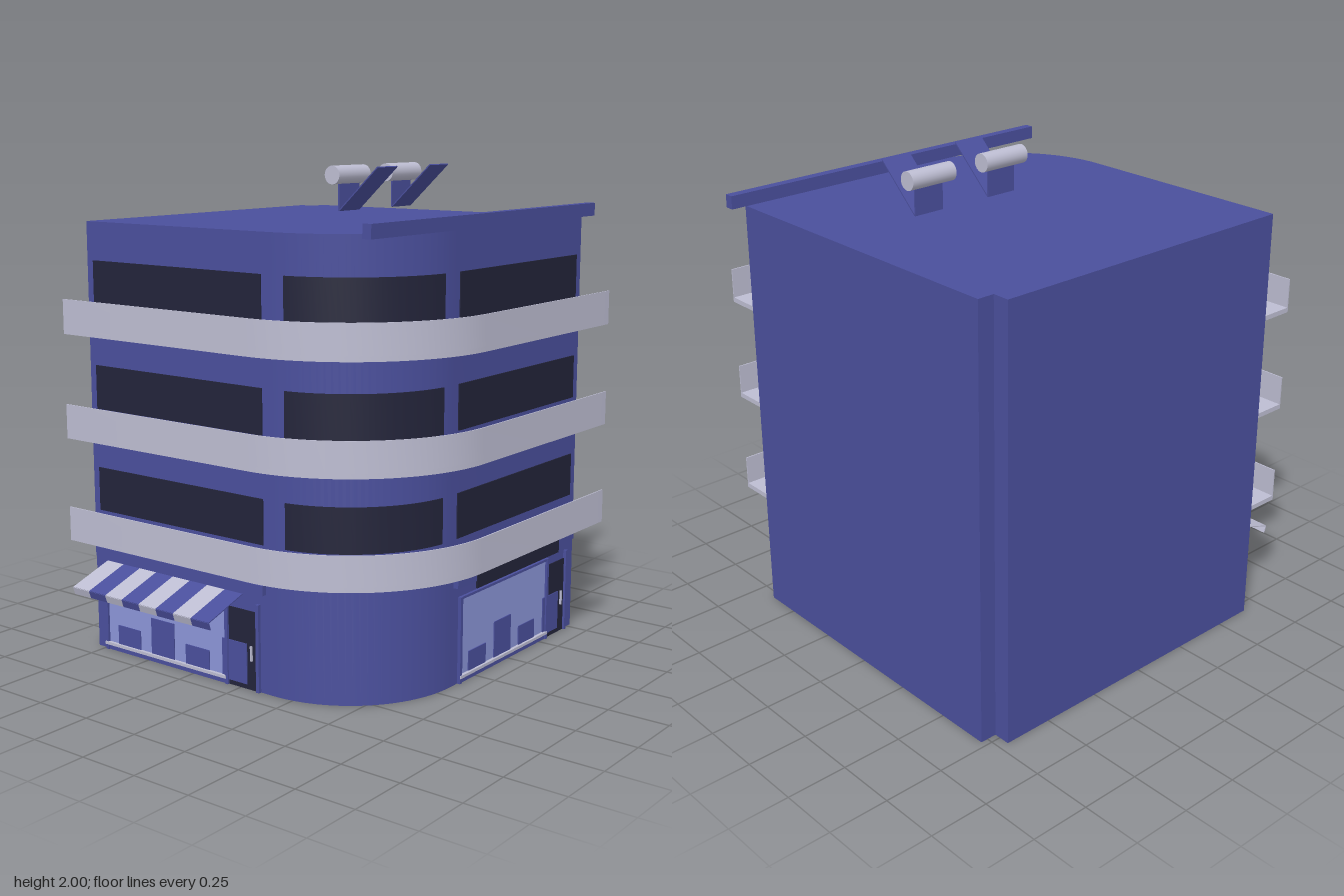
import * as THREE from 'three';
import { toCreasedNormals } from 'three/addons/utils/BufferGeometryUtils.js';

const material = (name, color) => {
  const m = new THREE.MeshStandardMaterial({ color });
  m.name = name;
  return m;
};
const blue = material('wall blue', 0x4a4f9c);
const pale = material('pale grey', 0xbdbdd2);
const dark = material('dark window', 0x23243a);
const glass = material('shop glass', 0x8b95d8);

// Wall planes and the centre and radius of the rounded corner
const LEFT = 0.78, RIGHT = -0.66, FRONT = 0.65, BACK = -0.795;
const CX = -0.17, CZ = 0.16, R = 0.49;

// Points (x, z) along the rounded corner, at a distance outside the wall
function corner(offset, from = 0, to = Math.PI / 2, steps = 28) {
  const points = [];
  for (let i = 0; i <= steps; i++) {
    const a = from + (to - from) * i / steps;
    points.push(new THREE.Vector2(CX - (R + offset) * Math.sin(a), CZ + (R + offset) * Math.cos(a)));
  }
  return points;
}

// Whole street side: front wall, corner, then side wall
function street(offset) {
  return [new THREE.Vector2(LEFT, FRONT + offset), ...corner(offset),
    new THREE.Vector2(RIGHT - offset, BACK)];
}

// Plan outline raised from y0 to y1
function raise(name, points, y0, y1, mat) {
  const g = new THREE.ExtrudeGeometry(new THREE.Shape(points), { depth: y1 - y0, bevelEnabled: false });
  g.rotateX(Math.PI / 2);
  g.translate(0, y1, 0);
  const mesh = new THREE.Mesh(toCreasedNormals(g, 0.5), mat);
  mesh.name = name;
  return mesh;
}

const band = (name, inner, outer, y0, y1, mat) =>
  raise(name, [...inner, ...outer.reverse()], y0, y1, mat);

// Box given by its limits
function box(name, x0, x1, y0, y1, z0, z1, mat) {
  const mesh = new THREE.Mesh(new THREE.BoxGeometry(x1 - x0, y1 - y0, z1 - z0), mat);
  mesh.position.set((x0 + x1) / 2, (y0 + y1) / 2, (z0 + z1) / 2);
  mesh.name = name;
  return mesh;
}

// Shop front against the plane z = 0
function shopFront(name) {
  const g = new THREE.Group();
  g.name = name;
  g.add(box('shopWindow', -0.105, 0.545, 0.02, 0.345, 0, 0.004, glass));
  g.add(box('shopDoor', 0.56, 0.705, 0, 0.32, 0, 0.004, dark));
  g.add(box('doorHandle', 0.674, 0.682, 0.12, 0.18, 0.004, 0.012, pale));
  for (const [x0, x1, top] of [[-0.12, -0.105, 0.355], [0.545, 0.56, 0.355], [0.705, 0.72, 0.355]])
    g.add(box('framePost', x0, x1, 0, top, 0, 0.014, blue));
  g.add(box('frameTop', -0.105, 0.545, 0.345, 0.355, 0, 0.012, blue));
  g.add(box('frameBase', -0.105, 0.545, 0, 0.02, 0, 0.008, blue));
  g.add(box('windowSill', -0.12, 0.55, 0.022, 0.034, 0, 0.018, pale));
  // Displays in the window
  [[-0.05, 0.115], [0.14, 0.185], [0.33, 0.115], [0.527, 0.185]].forEach(([x, top]) =>
    g.add(box('displayPanel', x, x + 0.127, 0.02, top, 0.001, 0.008, blue)));
  g.add(box('signRail', -0.155, 0.75, 0.4, 0.44, 0, 0.022, blue));
  return g;
}

// Striped awning over the side shop
function awning() {
  const g = new THREE.Group();
  g.name = 'awning';
  const profile = [[-0.66, 0.38], [-0.855, 0.315], [-0.845, 0.285]];
  const width = 0.74 / 8;
  for (let i = 0; i < 8; i++) {
    for (let k = 0; k < 2; k++) {
      const [xa, ya] = profile[k], [xb, yb] = profile[k + 1];
      const strip = new THREE.Mesh(
        new THREE.BoxGeometry(Math.hypot(xb - xa, yb - ya), 0.004, width), i % 2 ? blue : pale);
      strip.position.set((xa + xb) / 2, (ya + yb) / 2, -0.73 + width * (i + 0.5));
      strip.rotation.z = Math.atan2(yb - ya, xb - xa);
      strip.name = k ? 'awningFlap' : 'awningStripe';
      g.add(strip);
    }
  }
  return g;
}

// Roof lamp with its upright and sloping plates
function roofLamp(x) {
  const g = new THREE.Group();
  g.name = 'roofLamp';
  const tube = new THREE.Mesh(new THREE.CylinderGeometry(0.037, 0.037, 0.208, 24), pale);
  tube.rotation.z = Math.PI / 2;
  tube.position.set(0, 1.963, 0);
  tube.name = 'lampTube';
  g.add(tube, box('lampUpright', -0.067, 0.067, 1.82, 1.93, 0.002, 0.008, blue));
  const panel = new THREE.Mesh(new THREE.BoxGeometry(0.134, 0.005, Math.hypot(0.19, 0.176)), blue);
  panel.position.set(0, 1.909, 0.101);
  panel.rotation.x = -Math.atan2(0.176, 0.19);
  panel.name = 'lampReflector';
  g.add(panel);
  g.position.x = x;
  return g;
}

export function createModel() {
  const model = new THREE.Group();
  model.name = 'cornerBuilding';

  // Body with a rounded street corner and a notch at the back
  const V = (x, z) => new THREE.Vector2(x, z);
  model.add(raise('body', [...street(0), V(0.71, BACK), V(0.71, -0.725), V(LEFT, -0.725)], 0, 1.78, blue));

  // Three floors of windows and wraparound balconies
  for (let i = 0; i < 3; i++) {
    const y = 0.49 + i * 0.425;
    const w0 = y + 0.105, w1 = y + 0.285;
    model.add(band('balconyFloor', street(0), street(0.14), y, y + 0.02, pale));
    model.add(band('balconyParapet', street(0.135), street(0.14), y + 0.02, y + 0.14, pale));
    model.add(box('frontWindow', -0.14, 0.74, w0, w1, FRONT, FRONT + 0.005, dark));
    model.add(box('sideWindow', RIGHT - 0.005, RIGHT, w0, w1, -0.76, 0.12, dark));
    model.add(band('cornerWindow', corner(-0.003, 0.133, 1.438), corner(0.005, 0.133, 1.438), w0, w1, dark));
  }

  // Shops on both streets
  const front = shopFront('frontShop');
  front.position.z = FRONT;
  front.add(box('shopSign', -0.02, 0.62, 0.37, 0.46, 0.018, 0.025, dark));
  const side = shopFront('sideShop');
  side.rotation.y = -Math.PI / 2;
  side.position.set(RIGHT, 0, -0.62);
  model.add(front, side, awning());

  // Roof edge beam and lamps
  model.add(box('roofBeam', -0.73, 0.85, 1.782, 1.835, 0.635, 0.673, blue));
  model.add(roofLamp(0.024), roofLamp(0.386));
  return model;
}
